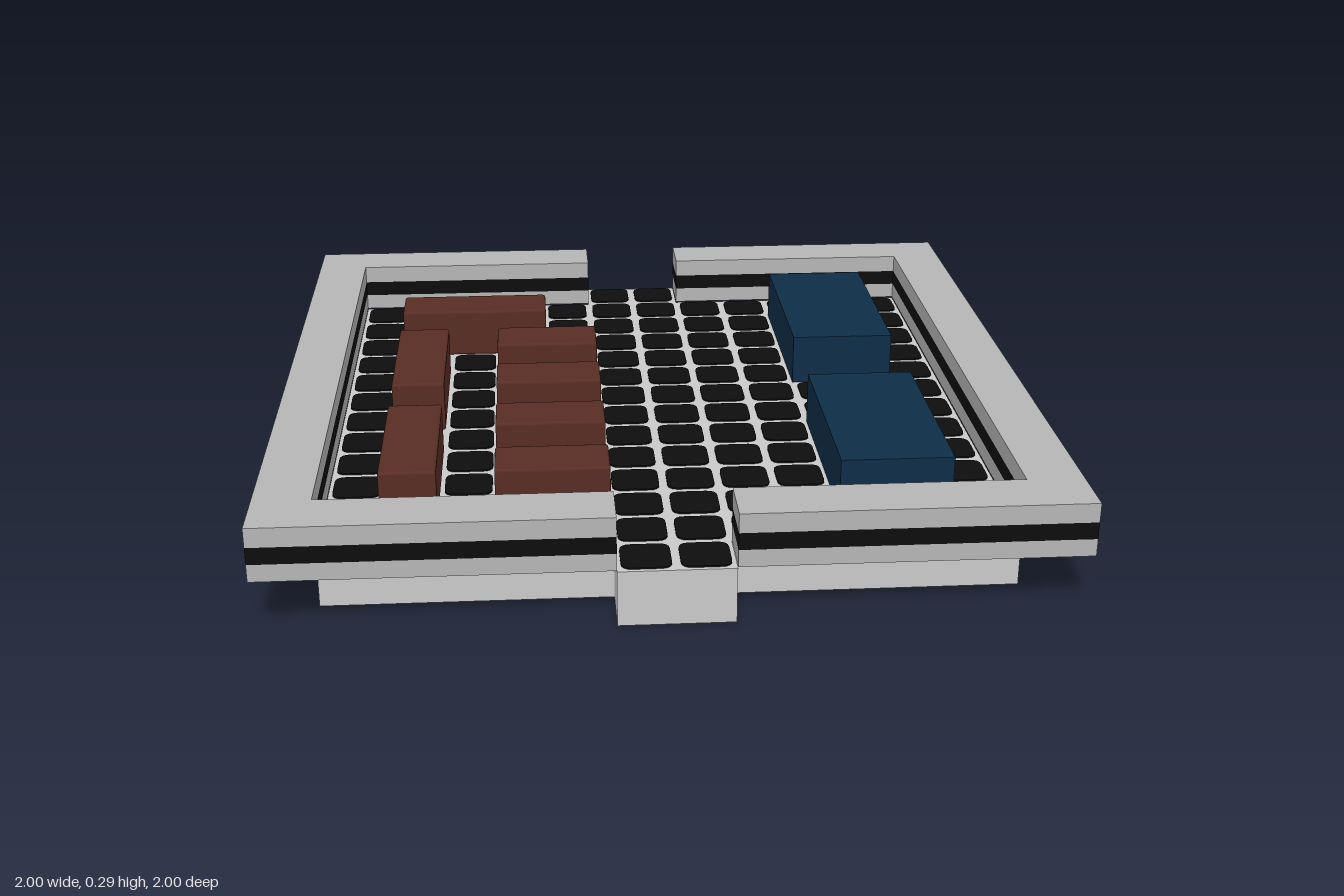
import * as THREE from 'three';
import { RoundedBoxGeometry } from 'three/addons/geometries/RoundedBoxGeometry.js';

const C = 1 / 7; // one floor cell
const FLOOR = 0.144;
const TOP = 0.286;

export function createModel() {
  const root = new THREE.Group();
  root.name = 'walledYard';
  const mat = (name, color) => {
    const m = new THREE.MeshStandardMaterial({ color });
    m.name = name;
    return m;
  };
  const floorGrey = mat('lightGrey', 0xcacaca);
  const wallGrey = mat('wallGrey', 0xb6b6b6);
  const black = mat('black', 0x0d0d0d);
  const brown = mat('brown', 0x582d24);
  const blue = mat('blue', 0x0e2d47);

  // Box given by its limits, optionally with softened edges
  const box = (parent, name, m, x0, x1, y0, y1, z0, z1, r = 0) => {
    const s = [x1 - x0, y1 - y0, z1 - z0];
    const g = r ? new RoundedBoxGeometry(...s, 2, r) : new THREE.BoxGeometry(...s);
    const mesh = new THREE.Mesh(g, m);
    mesh.name = name;
    mesh.position.set((x0 + x1) / 2, (y0 + y1) / 2, (z0 + z1) / 2);
    parent.add(mesh);
  };

  // Floor slabs; the middle one runs out through both gates
  [[-6, -1, 6], [-1, 1, 7], [1, 3, 6], [3, 5, 6], [5, 6, 6]].forEach(([a, b, h]) =>
    box(root, 'floorSlab', floorGrey, a * C, b * C, 0, FLOOR, -h * C, h * C));

  // Rounded paving plates
  const h = 0.061, r = 0.028;
  const s = new THREE.Shape();
  s.moveTo(-h + r, -h);
  s.lineTo(h - r, -h).quadraticCurveTo(h, -h, h, -h + r);
  s.lineTo(h, h - r).quadraticCurveTo(h, h, h - r, h);
  s.lineTo(-h + r, h).quadraticCurveTo(-h, h, -h, h - r);
  s.lineTo(-h, -h + r).quadraticCurveTo(-h, -h, -h + r, -h);
  const plate = new THREE.ExtrudeGeometry(s, { depth: 0.004, bevelEnabled: false, curveSegments: 4 });
  plate.rotateX(-Math.PI / 2);
  const paving = new THREE.Group();
  paving.name = 'paving';
  root.add(paving);
  for (let i = -6; i < 6; i++) {
    for (let k = -7; k < 7; k++) {
      const inGate = k === -7 || k === 6;
      if (inGate && i !== -1 && i !== 0) continue;
      const tile = new THREE.Mesh(plate, black);
      tile.name = 'pavingPlate';
      tile.position.set((i + 0.5) * C, FLOOR, (k + 0.5) * C);
      paving.add(tile);
    }
  }

  // Walls in three courses, the middle one black
  const wall = (name, x0, x1, z0, z1) => {
    const g = new THREE.Group();
    g.name = name;
    root.add(g);
    box(g, 'lowerCourse', wallGrey, x0, x1, 0.147, 0.192, z0, z1);
    box(g, 'blackBand', black, x0, x1, 0.192, 0.236, z0, z1);
    box(g, 'upperCourse', wallGrey, x0, x1, 0.236, TOP, z0, z1);
  };
  wall('leftWall', 6 * C, 1, -1, 1);
  wall('rightWall', -1, -6 * C, -1, 1);
  for (const [x0, x1] of [[-6 * C, -C], [C, 6 * C]]) {
    wall('frontWall', x0, x1, 6 * C, 1);
    wall('backWall', x0, x1, -1, -6 * C);
  }

  // Brown crates, in cells: x0, x1, z0, z1
  [[-5, -2, -4, -3], [-5, -4, -2, 1], [-5, -4, 2, 5],
    [-3, -1, -2, -1], [-3, -1, 0, 1], [-3, -1, 2, 3], [-3, -1, 4, 5],
  ].forEach(([a, b, c, d]) =>
    box(root, 'crate', brown, a * C, b * C, FLOOR, TOP - 0.002, c * C, d * C, 0.008));

  // Blue containers
  [[-5, -1], [1, 5]].forEach(([c, d]) =>
    box(root, 'container', blue, 3 * C, 5 * C, FLOOR, TOP - 0.002, c * C, d * C));

  return root;
}
